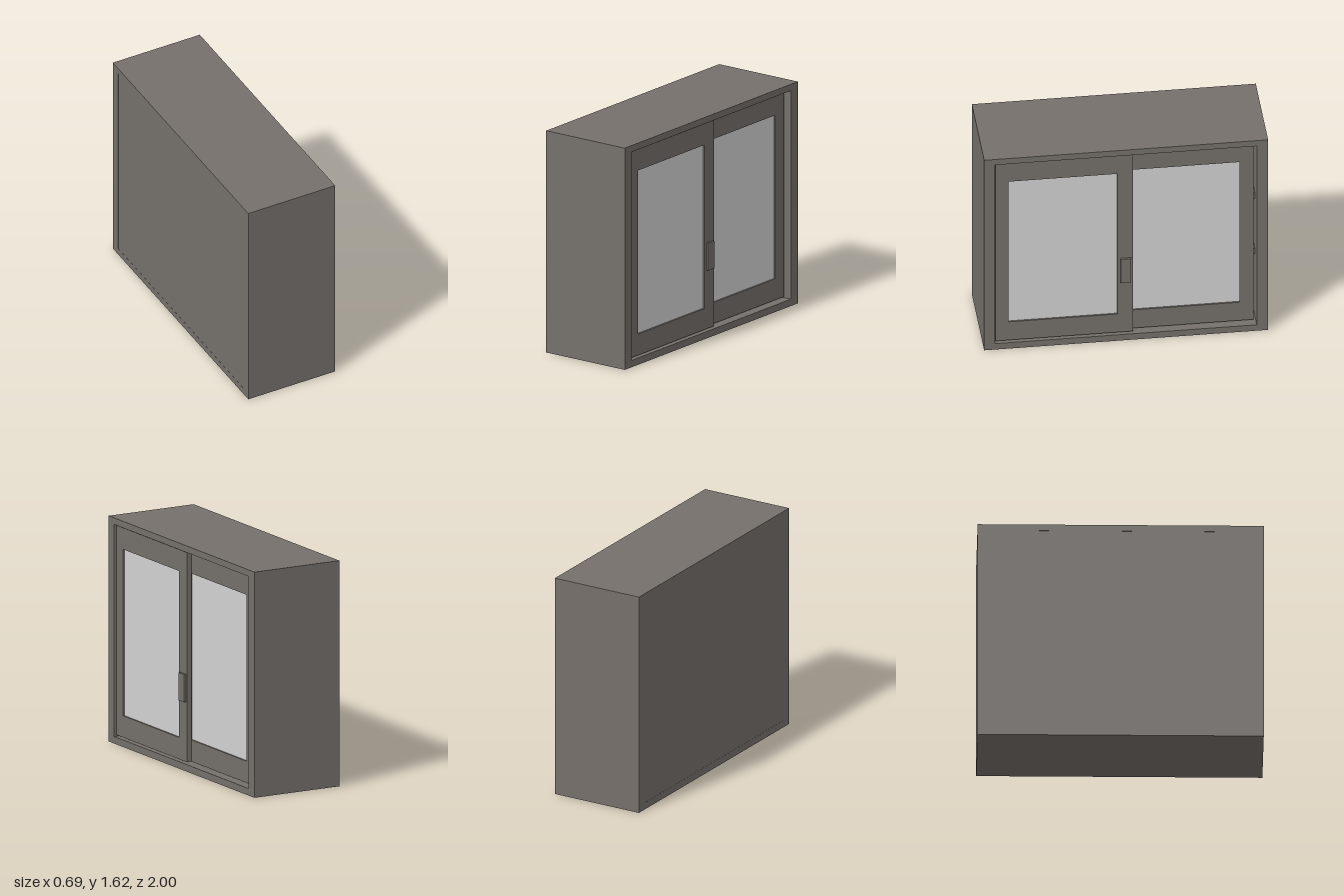
import * as THREE from 'three';

const frameMat = new THREE.MeshStandardMaterial({ color: 0x75706b });
frameMat.name = 'warm grey';
const glassMat = new THREE.MeshStandardMaterial({ color: 0xd4d4d4 });
glassMat.name = 'pale glass';

// Box given by its limits on each axis
function block(name, [x0, x1], [y0, y1], [z0, z1], mat = frameMat) {
  const mesh = new THREE.Mesh(new THREE.BoxGeometry(x1 - x0, y1 - y0, z1 - z0), mat);
  mesh.position.set((x0 + x1) / 2, (y0 + y1) / 2, (z0 + z1) / 2);
  mesh.name = name;
  return mesh;
}

// Rectangular frame in the z-y plane, extruded along x, with one opening
function frame(name, [x0, x1], [y0, y1], [z0, z1], hole) {
  const rect = (T, a, b, c, d) => {
    const path = new T();
    path.moveTo(-a, c).lineTo(-b, c).lineTo(-b, d).lineTo(-a, d).closePath();
    return path;
  };
  return (() => {
    const outline = new THREE.Shape([
      new THREE.Vector2(-z1, y0), new THREE.Vector2(-z0, y0),
      new THREE.Vector2(-z0, y1), new THREE.Vector2(-z1, y1),
    ]);
    const [hy0, hy1] = hole.y, [hz0, hz1] = hole.z;
    outline.holes.push(new THREE.Path([
      new THREE.Vector2(-hz1, hy0), new THREE.Vector2(-hz1, hy1),
      new THREE.Vector2(-hz0, hy1), new THREE.Vector2(-hz0, hy0),
    ]));
    const geo = new THREE.ExtrudeGeometry(outline, { depth: x1 - x0, bevelEnabled: false });
    geo.rotateY(Math.PI / 2).translate(x0, 0, 0);
    const mesh = new THREE.Mesh(geo, frameMat);
    mesh.name = name;
    return mesh;
  })();
}

// Sliding door: frame plus a slightly recessed pane
function door(name, x, z, paneZ) {
  const g = new THREE.Group();
  g.name = name;
  const paneY = [0.217, 1.412];
  g.add(frame(name + 'Frame', x, [0.062, 1.565], z, { y: paneY, z: paneZ }));
  g.add(block(name + 'Glass', [x[0] + 0.012, x[1] - 0.012], paneY, paneZ, glassMat));
  return g;
}

export function createModel() {
  const model = new THREE.Group();
  model.name = 'slidingDoorCabinet';

  // Carcass, open on the +x side
  model.add(frame('carcass', [-0.345, 0.345], [0, 1.62], [-1, 1],
    { y: [0.05, 1.573], z: [-0.92, 0.923] }));
  model.add(block('backPanel', [-0.344, -0.305], [0.04, 1.59], [-0.93, 0.93]));

  // Shelves
  for (const y of [0.58, 1.055]) {
    model.add(block('shelf', [-0.31, 0.24], [y, y + 0.05], [-0.92, 0.923]));
  }

  // Doors on two tracks
  model.add(door('outerDoor', [0.295, 0.33], [-0.05, 0.917], [0.06, 0.828]));
  model.add(door('innerDoor', [0.26, 0.294], [-0.905, 0.065], [-0.805, -0.04]));

  // Pull on the outer door
  model.add(block('handle', [0.328, 0.345], [0.49, 0.69], [-0.035, 0.038]));
  return model;
}
